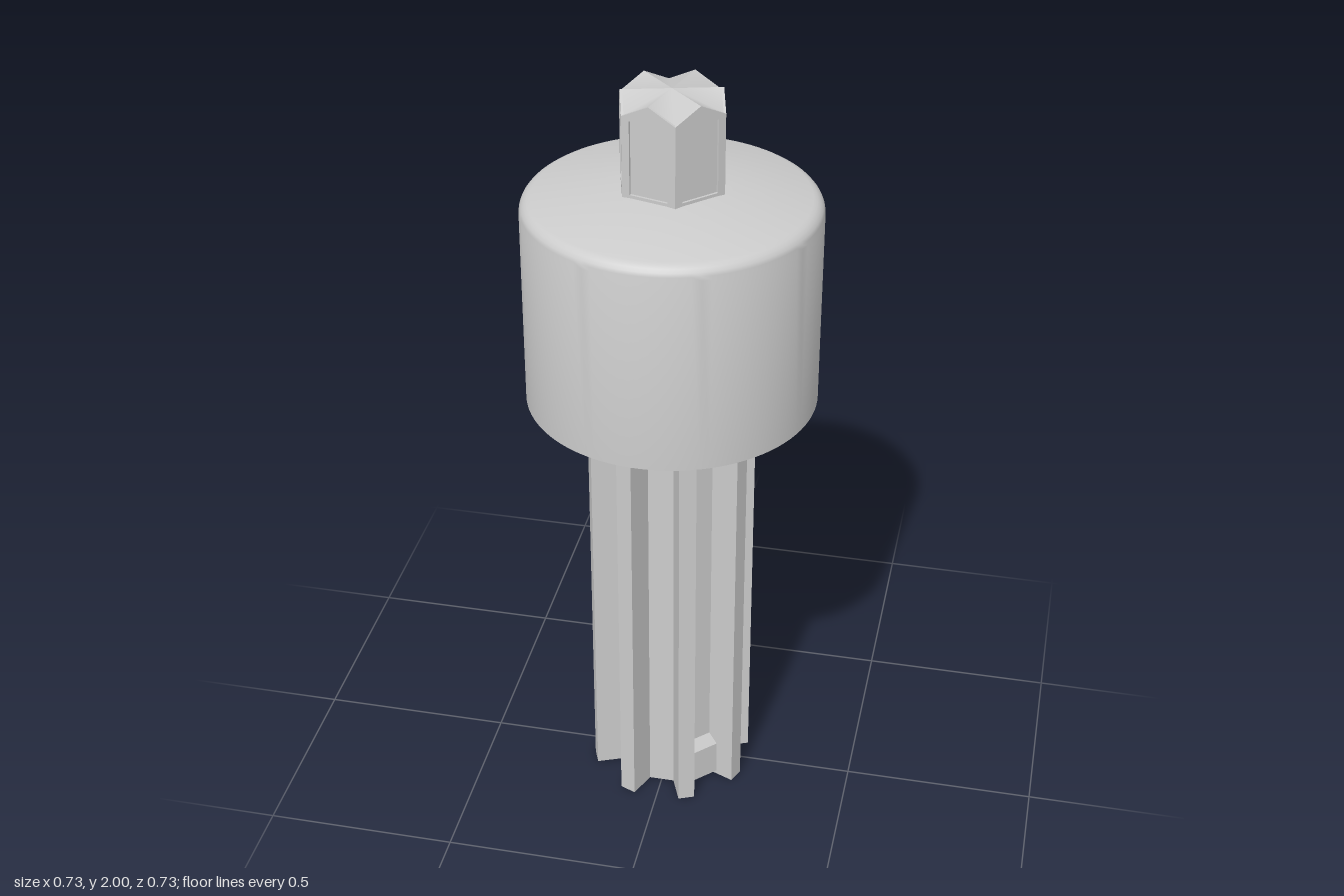
import * as THREE from 'three';
import { toCreasedNormals } from 'three/addons/utils/BufferGeometryUtils.js';
import { ConvexGeometry } from 'three/addons/geometries/ConvexGeometry.js';

const rad = THREE.MathUtils.degToRad;
const RIBS = 8, RIB_TURN = rad(22.5);
const CORE_R = 0.141, RIB_R = 0.214, RIB_HALF = 0.022;
const HEX_R = 0.14, HEX_TURN = rad(45);
const HEX_BASE = 1.75, CORNER_Y = 1.964, PEAK_Y = 2.0;

// Point at a heading (0 = front, turning to +x), moved out and sideways
function polar(angle, out, side = 0) {
  return [
    out * Math.sin(angle) + side * Math.cos(angle),
    out * Math.cos(angle) - side * Math.sin(angle),
  ];
}

// Splined shaft: straight ribs with flat grooves between them
function shaftGeometry() {
  const root = Math.sqrt(CORE_R ** 2 - RIB_HALF ** 2);
  const points = [];
  for (let i = 0; i < RIBS; i++) {
    const a = RIB_TURN + (i * 2 * Math.PI) / RIBS;
    for (const [r, s] of [[root, -1], [RIB_R, -1], [RIB_R, 1], [root, 1]]) {
      const [x, z] = polar(a, r, s * RIB_HALF);
      points.push(new THREE.Vector2(x, -z));
    }
  }
  const geo = new THREE.ExtrudeGeometry(new THREE.Shape(points), { depth: 1.12, bevelEnabled: false });
  return geo.rotateX(-Math.PI / 2);
}

// Drum: cone below, straight wall, rounded shoulder, shallow cone on top
function drumGeometry() {
  const profile = [[0, 1.082], [0.14, 1.082], [0.367, 1.18], [0.367, 1.69]];
  for (let i = 1; i <= 5; i++) {
    const t = (i / 5) * rad(79);
    profile.push([0.331 + 0.036 * Math.cos(t), 1.69 + 0.036 * Math.sin(t)]);
  }
  profile.push([0.13, 1.76], [0, 1.76]);
  const geo = new THREE.LatheGeometry(profile.map(([x, y]) => new THREE.Vector2(x, y)), 96);
  return toCreasedNormals(geo, rad(25));
}

// Star-shaped roof: sharp ridges to the face middles, soft valleys to the corners
function roofGeometry() {
  const pos = [], index = [];
  for (let i = 0; i < 6; i++) {
    const a = HEX_TURN + rad(60 * i + 30);
    const mid = HEX_R * Math.cos(rad(30));
    pos.push(0, PEAK_Y, 0);
    for (const [turn, r, y] of [[-30, mid, PEAK_Y], [0, HEX_R, CORNER_Y], [30, mid, PEAK_Y]]) {
      const [x, z] = polar(a + rad(turn), r);
      pos.push(x, y, z);
    }
    const n = i * 4;
    index.push(n, n + 1, n + 2, n, n + 2, n + 3);
  }
  const geo = new THREE.BufferGeometry();
  geo.setAttribute('position', new THREE.Float32BufferAttribute(pos, 3));
  geo.setIndex(index);
  geo.computeVertexNormals();
  return geo;
}

// One framed side of the hexagonal head, with a window opening
function frameGeometry(depth) {
  const h = HEX_R / 2;
  const outline = [[-h, HEX_BASE], [h, HEX_BASE], [h, CORNER_Y], [0, PEAK_Y], [-h, CORNER_Y]];
  const shape = new THREE.Shape(outline.map(([x, y]) => new THREE.Vector2(x, y)));
  const hole = [[-0.05, 1.768], [-0.05, 1.955], [0.05, 1.955], [0.05, 1.768]];
  shape.holes.push(new THREE.Path(hole.map(([x, y]) => new THREE.Vector2(x, y))));
  const geo = new THREE.ExtrudeGeometry(shape, { depth, bevelEnabled: false });
  return geo.translate(0, 0, HEX_R * Math.cos(rad(30)) - depth);
}

// Small stop filling the foot of one groove, its top sloping steeply inward
function stopGeometry() {
  const a = RIB_TURN + Math.PI / RIBS;
  const points = [];
  for (const [r, half, top] of [[0.132, 0.031, 0.142], [0.16, 0.043, 0.108]]) {
    for (const side of [-half, half]) {
      const [x, z] = polar(a, r, side);
      points.push(new THREE.Vector3(x, 0.01, z), new THREE.Vector3(x, top, z));
    }
  }
  return new ConvexGeometry(points);
}

export function createModel() {
  const group = new THREE.Group();
  group.name = 'splinedTool';
  const grey = new THREE.MeshStandardMaterial({ color: 0xcccccc });
  grey.name = 'light grey';

  const add = (name, geometry, parent = group) => {
    const mesh = new THREE.Mesh(geometry, grey);
    mesh.name = name;
    parent.add(mesh);
    return mesh;
  };

  add('splinedShaft', shaftGeometry());
  add('grooveStop', stopGeometry());
  add('drum', drumGeometry());

  // Hexagonal head: recessed core, six framed sides and the roof
  const head = new THREE.Group();
  head.name = 'hexHead';
  group.add(head);
  const depth = 0.006;
  const coreR = HEX_R - depth / Math.cos(rad(30));
  const core = new THREE.CylinderGeometry(coreR, coreR, 0.21, 6);
  core.rotateY(HEX_TURN + rad(30)).translate(0, HEX_BASE + 0.105, 0);
  add('headCore', toCreasedNormals(core, rad(20)), head);
  const frame = frameGeometry(depth);
  for (let i = 0; i < 6; i++) {
    add('headFrame' + (i + 1), frame, head).rotation.y = HEX_TURN + rad(60 * i);
  }
  add('headRoof', roofGeometry(), head);

  return group;
}
